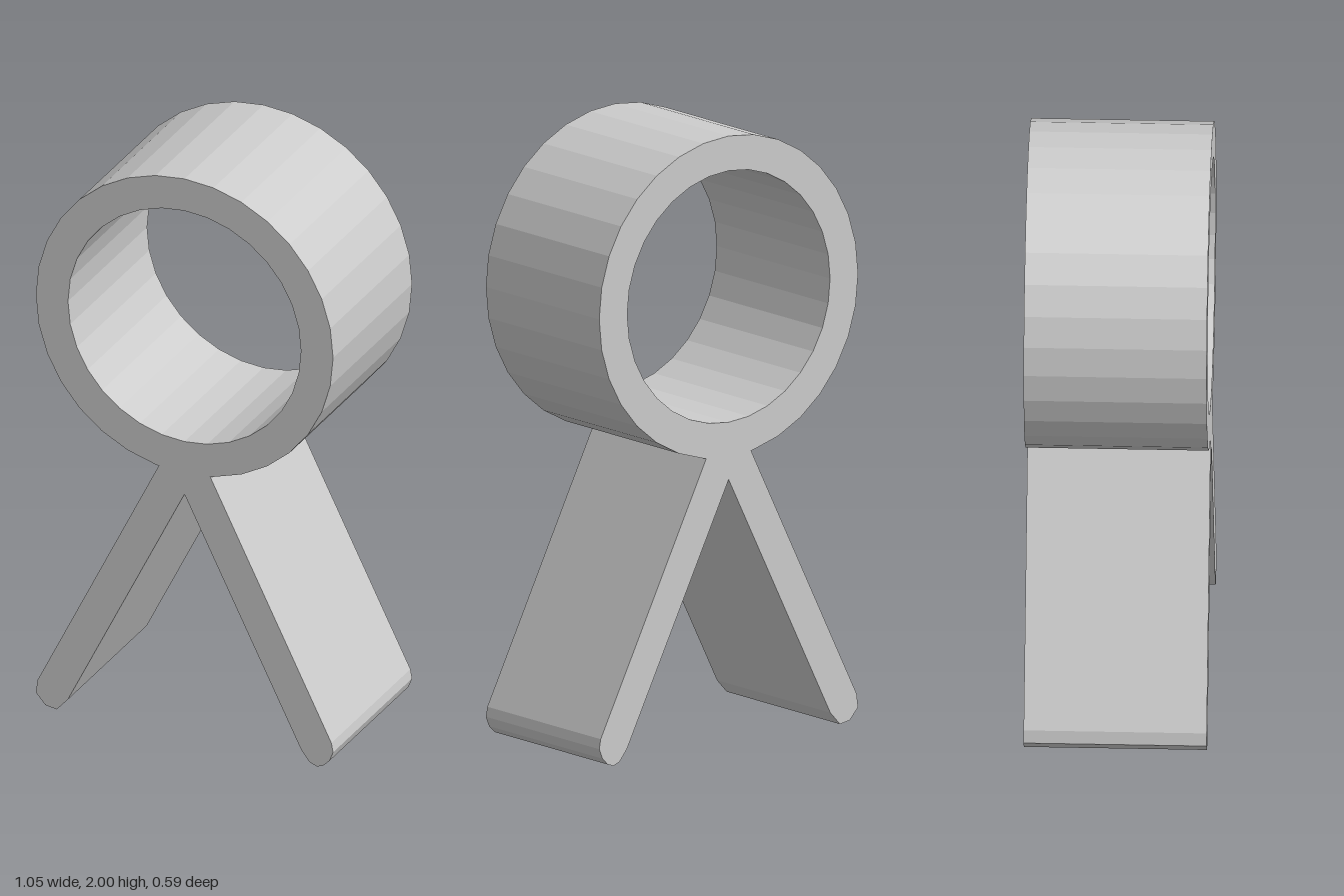
import * as THREE from 'three';

const DEPTH = 0.586;
const CENTRE_Y = 1.474;
const OUTER = 0.527;
const INNER = 0.413;
const SEGMENTS = 32;

// Point on a circle around the ring centre, counted in segments from the bottom
function ringPoint(radius, i) {
  const a = -Math.PI / 2 + (i / SEGMENTS) * Math.PI * 2;
  return new THREE.Vector2(Math.cos(a) * radius, CENTRE_Y + Math.sin(a) * radius);
}

const toPoints = (list) => list.map(([x, y]) => new THREE.Vector2(x, y));

export function createModel() {
  const grey = new THREE.MeshStandardMaterial({ color: 0xcccccc });
  grey.name = 'light grey';

  // Legs, each a straight bar with a rounded foot
  const rightLeg = toPoints([
    [-0.091, 0.955], [-0.521, 0.095], [-0.527, 0.05], [-0.493, 0.012],
    [-0.453, 0.005], [-0.414, 0.048],
  ]);
  const crotch = new THREE.Vector2(0, 0.873);
  const leftLeg = toPoints([
    [0.414, 0.048], [0.444, 0.01], [0.47, 0], [0.492, 0.008],
    [0.514, 0.03], [0.527, 0.063], [0.521, 0.095], [0.091, 0.955],
  ]);

  // Outer edge of the ring, open at the bottom where the legs join
  const outerArc = [];
  for (let i = 1; i < SEGMENTS; i++) outerArc.push(ringPoint(OUTER, i));

  const outline = new THREE.Shape([...rightLeg, crotch, ...leftLeg, ...outerArc]);

  // Round opening
  const opening = [];
  for (let i = 0; i < SEGMENTS; i++) opening.push(ringPoint(INNER, -i));
  outline.holes.push(new THREE.Path(opening));

  const geometry = new THREE.ExtrudeGeometry(outline, { depth: DEPTH, bevelEnabled: false });
  geometry.translate(0, 0, -DEPTH / 2);

  const body = new THREE.Mesh(geometry, grey);
  body.name = 'ringWithLegs';

  const model = new THREE.Group();
  model.name = 'ringStand';
  model.add(body);
  return model;
}
